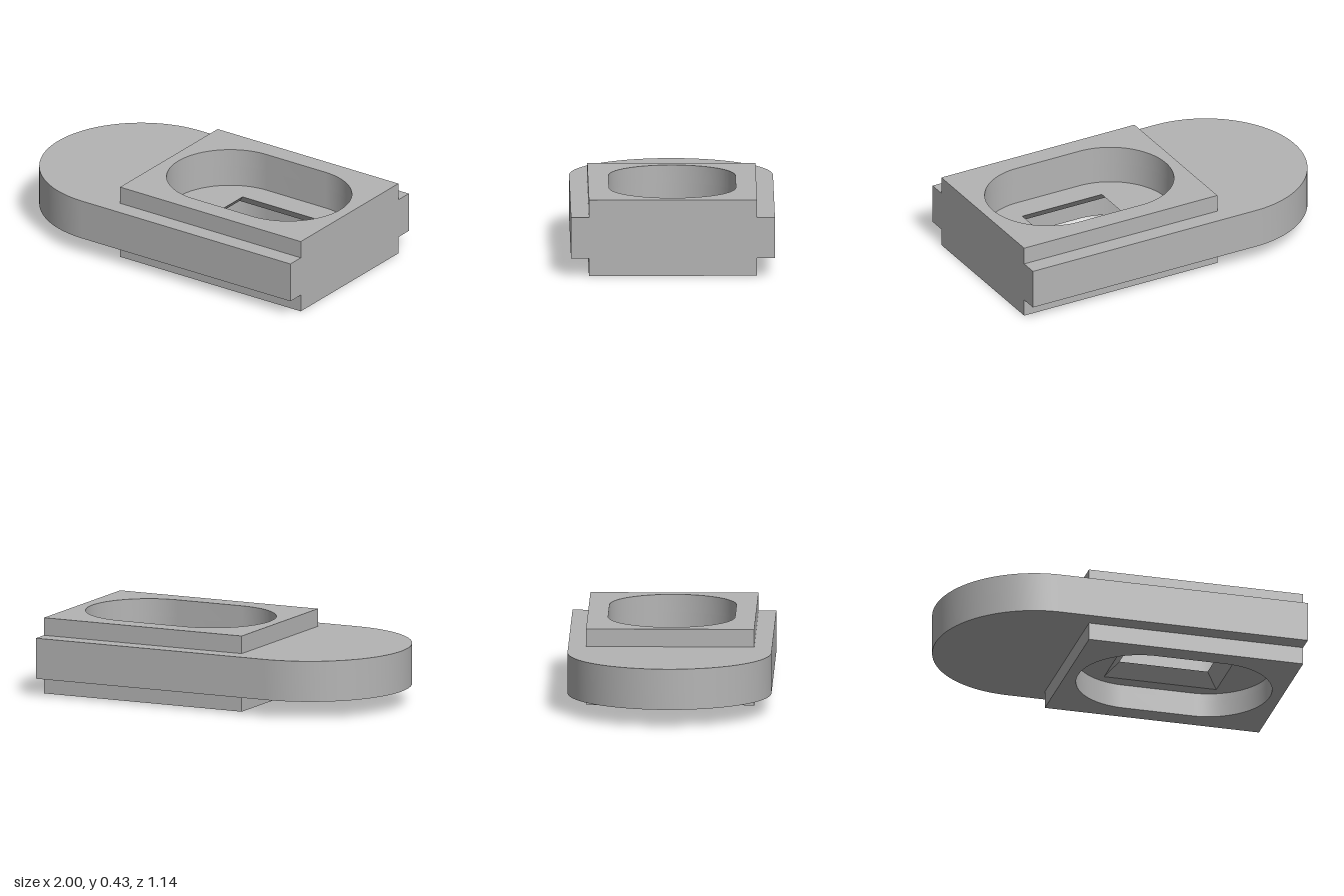
import * as THREE from 'three';
import { toCreasedNormals } from 'three/addons/utils/BufferGeometryUtils.js';

const grey = new THREE.MeshStandardMaterial({ color: 0xb4b4b4 });
grey.name = 'plain grey';

const WEB_BOTTOM = 0.14, WEB_TOP = 0.21;

// Rounded slot outline shared by both pockets
function slot(kind) {
  const s = new kind();
  s.absarc(0.58, 0, 0.355, -Math.PI / 2, Math.PI / 2, false);
  s.absarc(0.18, 0, 0.355, Math.PI / 2, Math.PI * 1.5, false);
  s.closePath();
  return s;
}

// Corners of the square-cut opening, enlarged by a flare
function opening(flare) {
  const x0 = 0.12 - flare, x1 = 0.63 + flare, z = 0.205 + flare;
  return [[x0, -z], [x1, -z], [x1, z], [x0, z]].map(([a, b]) => new THREE.Vector2(a, b));
}

// Horizontal slab between two heights
function slab(name, shape, y0, y1) {
  shape.holes.push(slot(THREE.Path));
  let g = new THREE.ExtrudeGeometry(shape, { depth: y1 - y0, bevelEnabled: false, curveSegments: 40 });
  g.rotateX(-Math.PI / 2).translate(0, y0, 0);
  g = toCreasedNormals(g, 0.4);
  const m = new THREE.Mesh(g, grey);
  m.name = name;
  return m;
}

function raisedShape() {
  return new THREE.Shape([[-0.24, -0.47], [1, -0.47], [1, 0.47], [-0.24, 0.47]].map(([x, z]) => new THREE.Vector2(x, z)));
}

// Flat face of the web inside the slot
function webFace(name, y, flare, up) {
  const s = slot(THREE.Shape);
  s.holes.push(new THREE.Path(opening(flare)));
  const g = new THREE.ShapeGeometry(s, 40);
  g.rotateX(up ? -Math.PI / 2 : Math.PI / 2).translate(0, y, 0);
  const m = new THREE.Mesh(g, grey);
  m.name = name;
  return m;
}

// Four sloping walls of the opening, facing inward
function flaredWalls(flare) {
  const top = opening(0), low = opening(flare), pos = [];
  for (let i = 0; i < 4; i++) {
    const j = (i + 1) % 4;
    const a = [top[i].x, WEB_TOP, top[i].y], b = [top[j].x, WEB_TOP, top[j].y];
    const c = [low[j].x, WEB_BOTTOM, low[j].y], d = [low[i].x, WEB_BOTTOM, low[i].y];
    pos.push(...a, ...d, ...c, ...a, ...c, ...b);
  }
  const g = new THREE.BufferGeometry();
  g.setAttribute('position', new THREE.Float32BufferAttribute(pos, 3));
  g.computeVertexNormals();
  const m = new THREE.Mesh(g, grey);
  m.name = 'openingWalls';
  return m;
}

export function createModel() {
  const model = new THREE.Group();
  model.name = 'slottedBlock';

  // Body with one round end
  const body = new THREE.Shape();
  body.moveTo(1, -0.57);
  body.lineTo(1, 0.57);
  body.lineTo(-0.43, 0.57);
  body.absarc(-0.43, 0, 0.57, Math.PI / 2, Math.PI * 1.5, false);
  body.closePath();
  model.add(slab('body', body, 0.1, 0.33));

  // Raised plates above and below
  model.add(slab('upperPlate', raisedShape(), 0.33, 0.43));
  model.add(slab('lowerPlate', raisedShape(), 0, 0.1));

  // Thin web across the slot, with an opening that widens downward
  model.add(webFace('webTop', WEB_TOP, 0, true));
  model.add(webFace('webUnderside', WEB_BOTTOM, 0.07, false));
  model.add(flaredWalls(0.07));
  return model;
}
